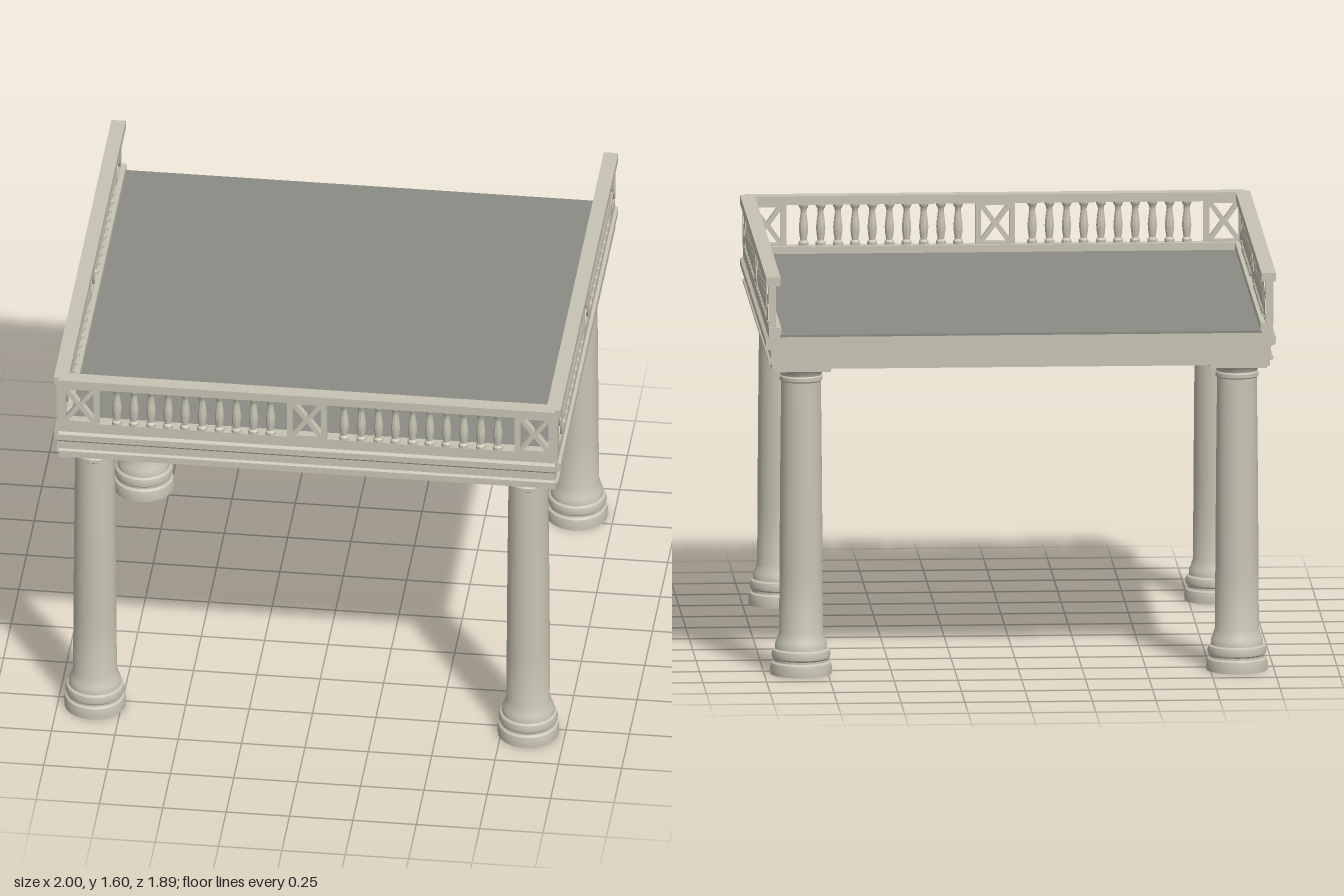
import * as THREE from 'three';
import { toCreasedNormals } from 'three/addons/utils/BufferGeometryUtils.js';

const stone = new THREE.MeshStandardMaterial({ color: 0xc8c4b4 });
stone.name = 'stone';
const decking = new THREE.MeshStandardMaterial({ color: 0x8a8c84 });
decking.name = 'decking';

const BACK = -0.95;
const points = (list) => list.map(([x, y]) => new THREE.Vector2(x, y));

function add(parent, name, geometry, material = stone, x = 0, y = 0, z = 0) {
  const mesh = new THREE.Mesh(geometry, material);
  mesh.name = name;
  mesh.position.set(x, y, z);
  parent.add(mesh);
  return mesh;
}

// Box given by its lower and upper limits
function block(parent, name, [x0, x1], [y0, y1], [z0, z1], material = stone) {
  return add(parent, name, new THREE.BoxGeometry(x1 - x0, y1 - y0, z1 - z0), material,
    (x0 + x1) / 2, (y0 + y1) / 2, (z0 + z1) / 2);
}

const lathe = (profile, sides) =>
  toCreasedNormals(new THREE.LatheGeometry(points(profile), sides), 0.6);

// Tapered column with stepped base and flared capital
const columnGeometry = lathe([
  [0, 0], [0.12, 0], [0.121, 0.025], [0.117, 0.045], [0.108, 0.052], [0.108, 0.06],
  [0.114, 0.066], [0.116, 0.08], [0.112, 0.096], [0.103, 0.102], [0.101, 0.125],
  [0.095, 0.135], [0.092, 0.15], [0.086, 0.165], [0.085, 0.4], [0.082, 0.8], [0.078, 1.165],
  [0.085, 1.17], [0.085, 1.185], [0.08, 1.19], [0.083, 1.2], [0.1, 1.218], [0, 1.218],
], 32);

// Turned baluster
const balusterGeometry = lathe([
  [0.02, 1.4], [0.02, 1.412], [0.013, 1.42], [0.017, 1.445], [0.019, 1.47],
  [0.016, 1.5], [0.012, 1.53], [0.013, 1.545], [0.02, 1.556], [0.02, 1.566],
], 10);

// Square panel with a diagonal cross, cut as four triangular holes
function crossPanelGeometry() {
  const w = 0.078, h = 0.084, a = 0.056, b = 0.072, bar = 0.013;
  const shape = new THREE.Shape(points([[-w, -h], [w, -h], [w, h], [-w, h]]));
  for (const s of [-1, 1]) {
    shape.holes.push(new THREE.Path(points([[s * a, b - bar], [s * a, bar - b], [s * bar, 0]])));
    shape.holes.push(new THREE.Path(points([[a - bar, s * b], [bar - a, s * b], [0, s * bar]])));
  }
  const geometry = new THREE.ExtrudeGeometry(shape, { depth: 0.03, bevelEnabled: false });
  return geometry.translate(0, 1.482, -0.02);
}
const panelGeometry = crossPanelGeometry();

// Entablature section: outward offset, height
const mouldingShape = new THREE.Shape(points([
  [-0.04, 1.23], [-0.004, 1.23], [-0.004, 1.252], [0.01, 1.257], [0.01, 1.266], [0, 1.272],
  [0, 1.308], [0.014, 1.314], [0.02, 1.322], [0.02, 1.348], [0.008, 1.356], [0.008, 1.4],
  [-0.04, 1.4],
]));

// One straight side: moulding, panels, balusters and handrail; runs along x, faces +z
function createRun(name, length) {
  const run = new THREE.Group();
  run.name = name;
  const half = length / 2;
  const moulding = new THREE.ExtrudeGeometry(mouldingShape, { depth: length, bevelEnabled: false });
  add(run, 'entablature', moulding.rotateY(-Math.PI / 2).translate(half, 0, 0));
  block(run, 'handrail', [-half, half], [1.565, 1.6], [-0.037, 0.02]);

  const end = half - 0.083;
  for (const x of [-end, 0, end]) add(run, 'crossPanel', panelGeometry, stone, x);

  const start = 0.078, step = (end - 0.078 - start) / 11;
  for (const side of [-1, 1]) {
    for (let i = 1; i <= 10; i++) {
      add(run, 'baluster', balusterGeometry, stone, side * (start + step * i), 0, -0.006);
    }
  }
  return run;
}

export function createModel() {
  const model = new THREE.Group();
  model.name = 'columnedTerrace';

  // Platform
  block(model, 'platform', [-0.945, 0.945], [1.235, 1.362], [BACK, 0.89]);
  block(model, 'deck', [-0.945, 0.945], [1.362, 1.371], [BACK, 0.89], decking);

  // Balustrades on the front and both sides, back left open
  const front = createRun('frontBalustrade', 1.96);
  front.position.z = 0.925;
  model.add(front);
  for (const side of [-1, 1]) {
    const run = createRun(side > 0 ? 'leftBalustrade' : 'rightBalustrade', 0.925 - BACK);
    run.position.set(side * 0.98, 0, (0.925 + BACK) / 2);
    run.rotation.y = side * Math.PI / 2;
    model.add(run);
    const post = block(model, 'cornerPost', [0.957, 0.987], [1.4, 1.565], [0.902, 0.932]);
    post.position.x *= side;
  }

  // Columns with square caps
  for (const x of [-0.855, 0.855]) {
    for (const z of [-0.805, 0.78]) {
      const column = new THREE.Group();
      column.name = 'column';
      column.position.set(x, 0, z);
      add(column, 'shaft', columnGeometry);
      block(column, 'abacus', [-0.112, 0.112], [1.217, 1.236], [-0.112, 0.112]);
      model.add(column);
    }
  }
  return model;
}
